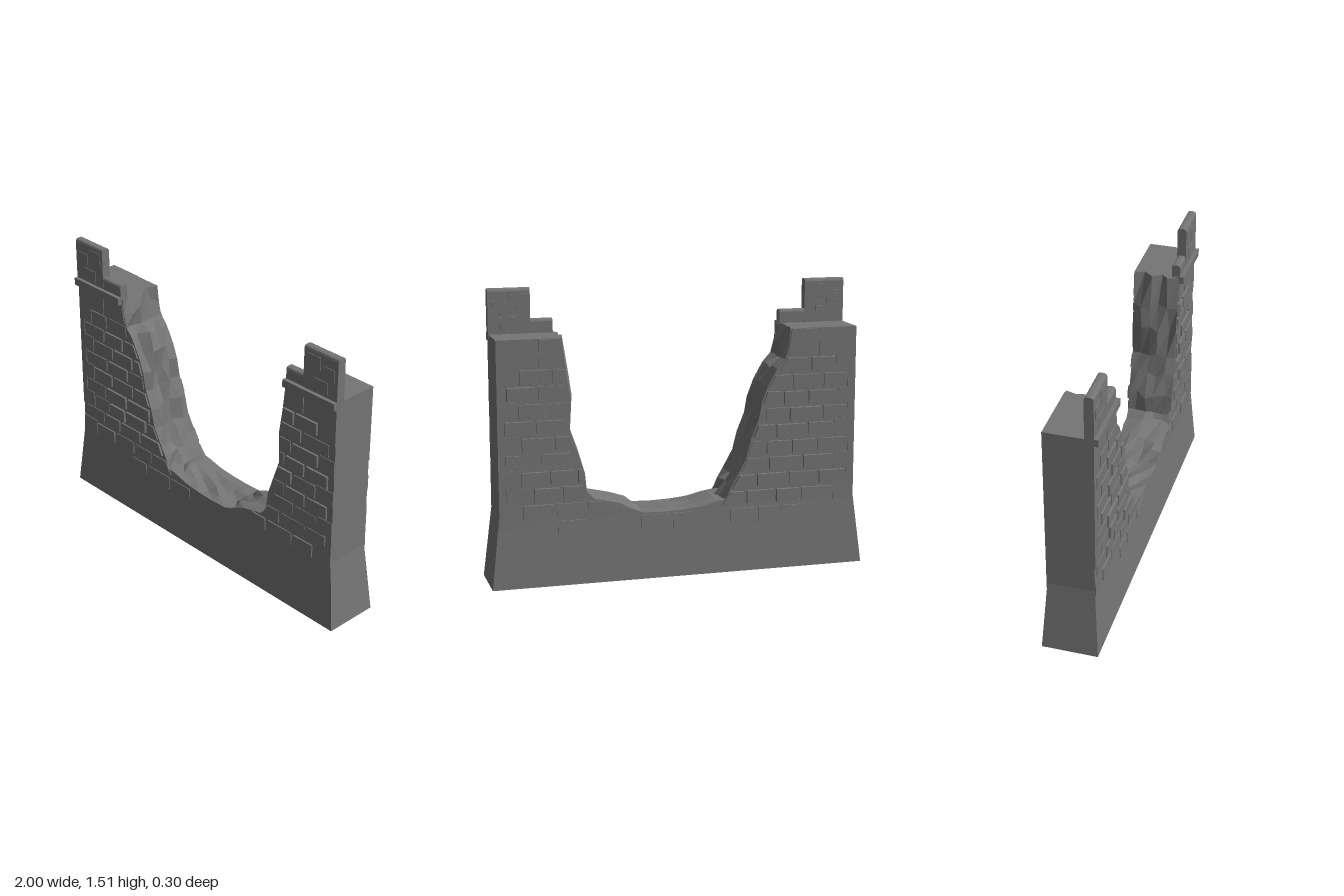
import * as THREE from 'three';
import { mergeGeometries } from 'three/addons/utils/BufferGeometryUtils.js';

const stone = new THREE.MeshStandardMaterial({ color: 0x757575 });
stone.name = 'grey stone';

const TOP = 1.28, JOIN = 0.3, ROW = 0.087, EDGE = 0.955;

// broken edge, from the top of the left-hand tower to the top of the right-hand one
const rimA = [[-0.59, 1.28], [-0.585, 1.2], [-0.565, 1.12], [-0.52, 1.07], [-0.47, 0.98], [-0.44, 0.9],
  [-0.42, 0.8], [-0.38, 0.7], [-0.355, 0.6], [-0.3, 0.5], [-0.27, 0.45], [-0.245, 0.39], [-0.18, 0.38], [-0.1, 0.36], [0, 0.35]];
const rimB = [[0.1, 0.347], [0.2, 0.35], [0.27, 0.38], [0.33, 0.41], [0.46, 0.44], [0.5, 0.48], [0.51, 0.58],
  [0.55, 0.7], [0.585, 0.8], [0.58, 0.97], [0.6, 1.1], [0.62, 1.28]];

// the foot of the wall flares out
const flare = (y) => Math.max(0, (0.38 - y) / 0.38);
const faceZ = (y) => 0.122 + 0.025 * flare(y);
const halfX = (y) => EDGE + 0.045 * flare(y);

function makeRandom(seed) {
  return () => {
    seed = (seed * 16807) % 2147483647;
    return seed / 2147483647;
  };
}

// repeatable noise from a position, -0.5 to 0.5
function noise(x, y, z, k) {
  const s = Math.sin(Math.round(x * 999) * 12.9 + Math.round(y * 999) * 78.2 + Math.round(z * 999) * 37.7 + k) * 43758.5;
  return s - Math.floor(s) - 0.5;
}

function moveVertices(geometry, rule) {
  const p = geometry.attributes.position;
  for (let i = 0; i < p.count; i++) p.setXYZ(i, ...rule(p.getX(i), p.getY(i), p.getZ(i)));
  return geometry;
}

function flat(geometry) {
  const g = geometry.index ? geometry.toNonIndexed() : geometry;
  g.computeVertexNormals();
  return g;
}

// x of the broken edge of a tower at height y
function rimX(side, y) {
  const pts = side < 0 ? rimA : rimB;
  for (let i = 0; i < pts.length - 1; i++) {
    const [a, b] = [pts[i], pts[i + 1]];
    if ((y - a[1]) * (y - b[1]) <= 0 && a[1] !== b[1]) return a[0] + (b[0] - a[0]) * (y - a[1]) / (b[1] - a[1]);
  }
  return side < 0 ? 0 : 0.1;
}

// a stone standing proud of the wall: xAt(end, y) gives its two ends, facing +1 front or -1 back
function block(xAt, y0, y1, thick, bevel, facing, baseZ = faceZ) {
  const g = moveVertices(new THREE.BoxGeometry(2, 1, 1), (u, v, w) => {
    const out = w > 0;
    const inset = out ? bevel : 0;
    const y = v > 0 ? y1 - inset : y0 + inset;
    const x = facing * xAt(u * facing, y) - Math.sign(u) * inset;
    return [x, y, baseZ(y) + (out ? thick : -0.01)];
  });
  if (facing < 0) g.rotateY(Math.PI);
  return flat(g);
}

// courses of bricks on one face of one tower
function towerBricks(side, facing) {
  const rand = makeRandom(Math.round(917 + side * 311 + facing * 97));
  const parts = [];
  const clip = (x, y) => (side < 0 ? Math.min(x, rimX(side, y) - 0.006) : Math.max(x, rimX(side, y) + 0.006));
  const add = (a, b, y0, y1, t, bevel) => {
    const [lo, hi] = [Math.min(a, b), Math.max(a, b)];
    const mid = (y0 + y1) / 2;
    if (clip(hi, mid) - clip(lo, mid) < 0.03) return;
    parts.push(block((e, y) => clip(e < 0 ? lo : hi, y), y0, y1, t, bevel, facing));
  };
  for (let r = 0; r < 9; r++) {
    const y0 = 0.352 + r * ROW;
    let x = 0.885 + (r % 2 ? 0.02 : -0.05) + rand() * 0.02;
    // smooth stone at the outer corner
    add(side * EDGE, side * (x + 0.008), y0 - 0.002, y0 + ROW - 0.002, 0.004, 0);
    while (x > -0.1) {
      const w = 0.13 + rand() * 0.06;
      const drop = rand() * 0.01;
      add(side * x, side * (x - w + 0.012), y0 + drop, y0 + ROW - 0.01 + drop * 0.4, 0.003 + rand() * 0.009, 0.004);
      x -= w;
    }
  }
  // plain band under the ledge
  add(side * EDGE, side * 0.75, 1.13, TOP, 0.004, 0);
  add(side * 0.742, side * 0.3, 1.137, TOP, 0.005, 0.003);
  return mergeGeometries(parts);
}

// scattered, half buried bricks just below the gap
function lowBricks(facing) {
  const rand = makeRandom(53 + facing * 20);
  const parts = [];
  for (let x = -0.66; x < 0.6;) {
    const w = 0.12 + rand() * 0.07;
    const [a, b] = [x, x + w - 0.012];
    if (rand() < 0.6) parts.push(block((e) => (e < 0 ? a : b), 0.255 + rand() * 0.02, 0.34, 0.004, 0.003, facing));
    x += w;
  }
  return mergeGeometries(parts);
}

// thin upright slab with a softened top, running from x0 to x1
function slab(x0, x1, y0, y1, z, half) {
  const c = half * 0.6;
  const shape = new THREE.Shape([[-half, y0], [half, y0], [half, y1 - c], [half - c * 0.3, y1 - c * 0.3], [half - c, y1],
    [c - half, y1], [c * 0.3 - half, y1 - c * 0.3], [-half, y1 - c]].map((p) => new THREE.Vector2(...p)));
  const g = new THREE.ExtrudeGeometry(shape, { depth: x1 - x0, bevelEnabled: false });
  return flat(g.rotateY(Math.PI / 2).translate(x0, 0, z));
}

export function createModel() {
  const model = new THREE.Group();
  model.name = 'ruinedWall';
  const add = (name, geometry, parent = model) => {
    const mesh = new THREE.Mesh(geometry, stone);
    mesh.name = name;
    parent.add(mesh);
  };

  // flared foot
  add('wallFoot', flat(moveVertices(new THREE.BoxGeometry(2, JOIN, 1), (x, y, z) => {
    const h = y + JOIN / 2;
    return [Math.sign(x) * halfX(h), h, Math.sign(z) * faceZ(h)];
  })));

  // broken wall with a rough, crumbled rim
  const outline = [[-EDGE, JOIN], [EDGE, JOIN], [EDGE, 0.38], [EDGE, TOP], ...[...rimA, ...rimB].reverse(), [-EDGE, TOP], [-EDGE, 0.38]];
  const wall = new THREE.ExtrudeGeometry(new THREE.Shape(outline.map((p) => new THREE.Vector2(...p))),
    { depth: 0.244, steps: 5, bevelEnabled: false }).translate(0, 0, -0.122);
  add('brokenWall', flat(moveVertices(wall, (x, y, z) => {
    if (Math.abs(x) > 0.9) return [Math.sign(x) * halfX(y), y, z * faceZ(y) / 0.122];
    if (y < 0.305 || Math.abs(z) > 0.12) return [x, y, z * faceZ(y) / 0.122];
    const rough = y > 1.27 ? 0 : 0.035;
    return [x + noise(x, y, z, 1) * 0.045, y + noise(x, y, z, 2) * rough, z + noise(x, y, z, 3) * 0.02];
  })));

  // bricks on both faces
  for (const facing of [1, -1]) {
    const face = facing > 0 ? 'front' : 'back';
    add(face + 'LowBricks', lowBricks(facing));
    add(face + 'LeftBricks', towerBricks(1, facing));
    add(face + 'RightBricks', towerBricks(-1, facing));
  }

  // ledge, parapet and merlon on each tower
  for (const side of [1, -1]) {
    const battlement = new THREE.Group();
    battlement.name = side > 0 ? 'leftBattlement' : 'rightBattlement';
    model.add(battlement);
    const span = (a, b) => [Math.min(side * a, side * b), Math.max(side * a, side * b)];
    const end = side > 0 ? 0.625 : 0.6;
    const [l0, l1] = span(0.958, end - 0.005);
    add('ledge', new THREE.BoxGeometry(l1 - l0, 0.04, 0.05).translate((l0 + l1) / 2, 1.268, 0.124), battlement);
    add('parapet', slab(...span(0.957, end), 1.26, 1.352, 0.105, 0.023), battlement);
    add('merlon', slab(...span(0.958, 0.74), 1.27, 1.512, 0.105, 0.024), battlement);
    // worn stones on the merlon
    const stones = [];
    for (const [a, b, y0, y1] of [[0.94, 0.86, 1.38, 1.45], [0.85, 0.755, 1.41, 1.485], [0.9, 0.8, 1.3, 1.37]]) {
      const [s0, s1] = span(a, b);
      const ends = (e) => (e < 0 ? s0 : s1);
      stones.push(block(ends, y0, y1, 0.003, 0.003, 1, () => 0.129));
      stones.push(block(ends, y0, y1, 0.003, 0.003, -1, () => -0.081));
    }
    add('merlonStones', mergeGeometries(stones), battlement);
  }
  return model;
}
